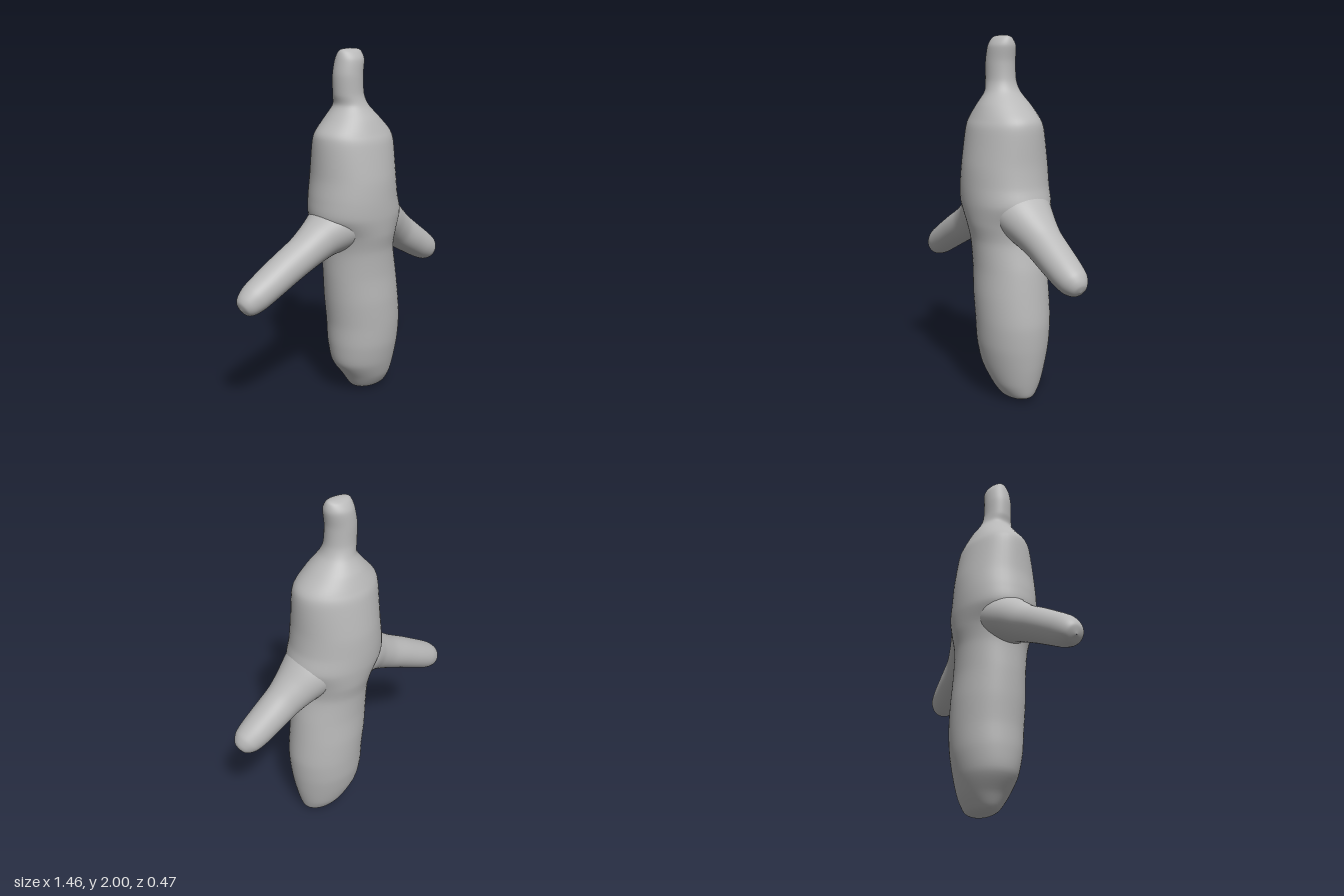
import * as THREE from 'three';

const grey = new THREE.MeshStandardMaterial({ color: 0xb8b8b8 });
grey.name = 'grey clay';

// Closed smooth skin over elliptical sections [x, y, half width, half depth],
// all of them square to one direction (dx, dy) in the xy plane.
function loft(name, sections, dx, dy, steps = 6, sides = 48) {
  const len = Math.hypot(dx, dy);
  const ux = dy / len, uy = -dx / len;
  const centres = new THREE.CatmullRomCurve3(sections.map(s => new THREE.Vector3(s[0], s[1], 0)), false, 'catmullrom', 0.4);
  const radii = new THREE.CatmullRomCurve3(sections.map(s => new THREE.Vector3(s[2], s[3], 0)), false, 'catmullrom', 0.4);
  const rings = (sections.length - 1) * steps;
  const pos = [], index = [];
  for (let i = 0; i <= rings; i++) {
    const c = centres.getPoint(i / rings), r = radii.getPoint(i / rings);
    const w = Math.max(r.x, 0.0005), d = Math.max(r.y, 0.0005);
    for (let j = 0; j < sides; j++) {
      const a = j / sides * Math.PI * 2;
      pos.push(c.x + ux * w * Math.cos(a), c.y + uy * w * Math.cos(a), -d * Math.sin(a));
      if (i === rings) continue;
      const k = (j + 1) % sides, p = i * sides, q = p + sides;
      index.push(p + j, p + k, q + j, p + k, q + k, q + j);
    }
  }
  const g = new THREE.BufferGeometry();
  g.setAttribute('position', new THREE.Float32BufferAttribute(pos, 3));
  g.setIndex(index);
  g.computeVertexNormals();
  const mesh = new THREE.Mesh(g, grey);
  mesh.name = name;
  return mesh;
}

export function createModel() {
  const group = new THREE.Group();
  group.name = 'figure';

  // Trunk with shoulders, narrowing to the stalk-like neck
  group.add(loft('body', [
    [0.18, 0, 0, 0], [0.18, 0.006, 0.07, 0.045], [0.18, 0.03, 0.122, 0.085],
    [0.168, 0.1, 0.157, 0.13], [0.143, 0.2, 0.202, 0.165], [0.14, 0.32, 0.22, 0.19],
    [0.14, 0.45, 0.225, 0.2], [0.125, 0.6, 0.225, 0.203], [0.11, 0.75, 0.22, 0.198],
    [0.092, 0.9, 0.208, 0.205], [0.085, 1.0, 0.225, 0.225], [0.07, 1.1, 0.275, 0.236],
    [0.058, 1.2, 0.262, 0.237], [0.058, 1.32, 0.248, 0.23], [0.058, 1.5, 0.242, 0.2],
    [0.055, 1.56, 0.225, 0.178], [0.05, 1.63, 0.16, 0.145], [0.04, 1.7, 0.098, 0.1],
    [0.024, 1.76, 0.088, 0.083], [0.02, 1.86, 0.086, 0.08], [0.032, 1.94, 0.084, 0.074],
    [0.034, 1.98, 0.073, 0.05], [0.034, 1.995, 0.055, 0.025], [0.034, 2.0, 0, 0],
  ], 0, 1));

  // Longer arm on the model's right
  group.add(loft('rightArm', [
    [0.02, 1.08, 0.16, 0.19], [-0.1, 1.03, 0.14, 0.165], [-0.2, 0.985, 0.115, 0.125],
    [-0.3, 0.93, 0.1, 0.104], [-0.42, 0.87, 0.094, 0.098], [-0.54, 0.805, 0.088, 0.093],
    [-0.63, 0.755, 0.082, 0.084], [-0.68, 0.725, 0.067, 0.067], [-0.705, 0.71, 0.045, 0.045],
    [-0.717, 0.703, 0, 0],
  ], -0.52, -0.29));

  // Shorter, steeper arm on the model's left
  group.add(loft('leftArm', [
    [0.14, 1.1, 0.16, 0.19], [0.25, 1.04, 0.14, 0.165], [0.34, 0.98, 0.118, 0.13],
    [0.42, 0.925, 0.104, 0.106], [0.52, 0.86, 0.095, 0.098], [0.61, 0.802, 0.087, 0.09],
    [0.665, 0.768, 0.077, 0.078], [0.695, 0.748, 0.058, 0.058], [0.711, 0.737, 0.036, 0.036],
    [0.718, 0.732, 0, 0],
  ], 0.5, -0.33));

  return group;
}
